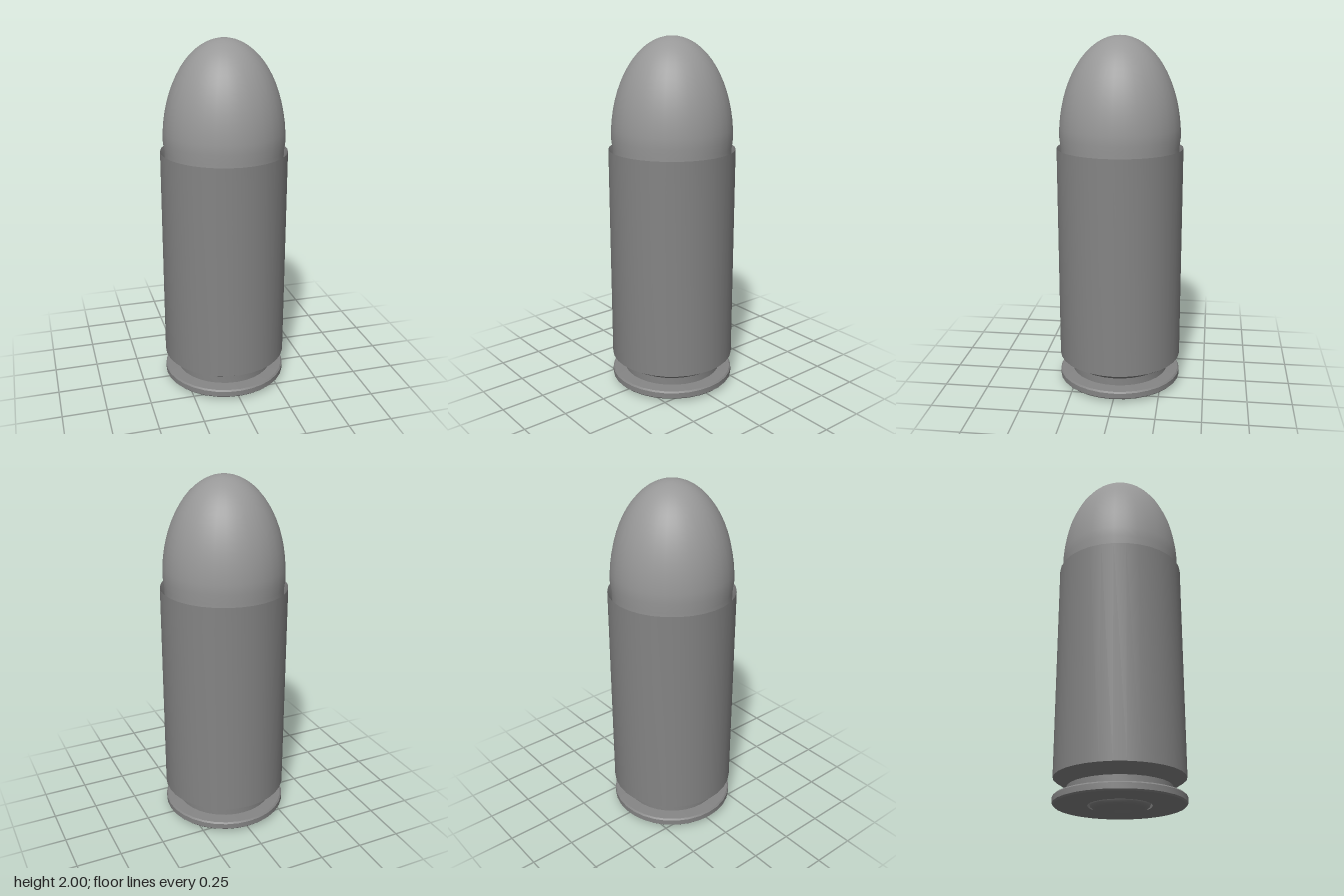
import * as THREE from 'three';
import { toCreasedNormals } from 'three/addons/utils/BufferGeometryUtils.js';

const SIDES = 32;

export function createModel() {
  const group = new THREE.Group();

  // Turned part from [radius, height] pairs running up the outside
  function turned(name, color, profile, deform) {
    const points = profile.map(([r, y]) => new THREE.Vector2(r, y));
    const geometry = new THREE.LatheGeometry(points, SIDES);
    if (deform) deform(geometry.attributes.position);
    const material = new THREE.MeshStandardMaterial({ color, side: THREE.DoubleSide });
    const mesh = new THREE.Mesh(toCreasedNormals(geometry, Math.PI / 5), material);
    mesh.name = name;
    group.add(mesh);
  }

  // Ogive nose: slightly pinched where it seats in the case, then half an ellipse
  const nose = [[0.329, 1.32], [0.331, 1.4]];
  const steps = 16;
  for (let i = 0; i <= steps; i++) {
    const a = (i / steps) * Math.PI / 2;
    nose.push([i === steps ? 0 : 0.337 * Math.cos(a), 1.45 + 0.55 * Math.sin(a)]);
  }
  turned('bulletNose', 0x989898, nose);

  // Case: pocket, rim, extraction groove, taper, wall and flared inner mouth
  turned('cartridgeCase', 0x848484, [
    [0, 0.05], [0.17, 0.05], [0.17, 0.02],
    [0.345, 0.02], [0.353, 0.028], [0.353, 0.058], [0.345, 0.066],
    [0.28, 0.072], [0.28, 0.115], [0.353, 0.162],
    [0.353, 1.39], [0.329, 1.33],
  ]);

  // Primer: domed cap with an off-centre firing dent
  const primer = [];
  for (let i = 0; i <= 13; i++) primer.push([i * 0.01, 0.004 * (i / 13) ** 2]);
  primer.push([0.145, 0.009], [0.156, 0.018], [0.161, 0.03], [0.161, 0.05]);
  turned('primer', 0x848484, primer, (pos) => {
    for (let i = 0; i < pos.count; i++) {
      const d = Math.hypot(pos.getX(i) - 0.055, pos.getZ(i)) / 0.055;
      if (d < 1) pos.setY(i, pos.getY(i) + 0.02 * (1 - d * d) ** 2);
    }
  });

  return group;
}
